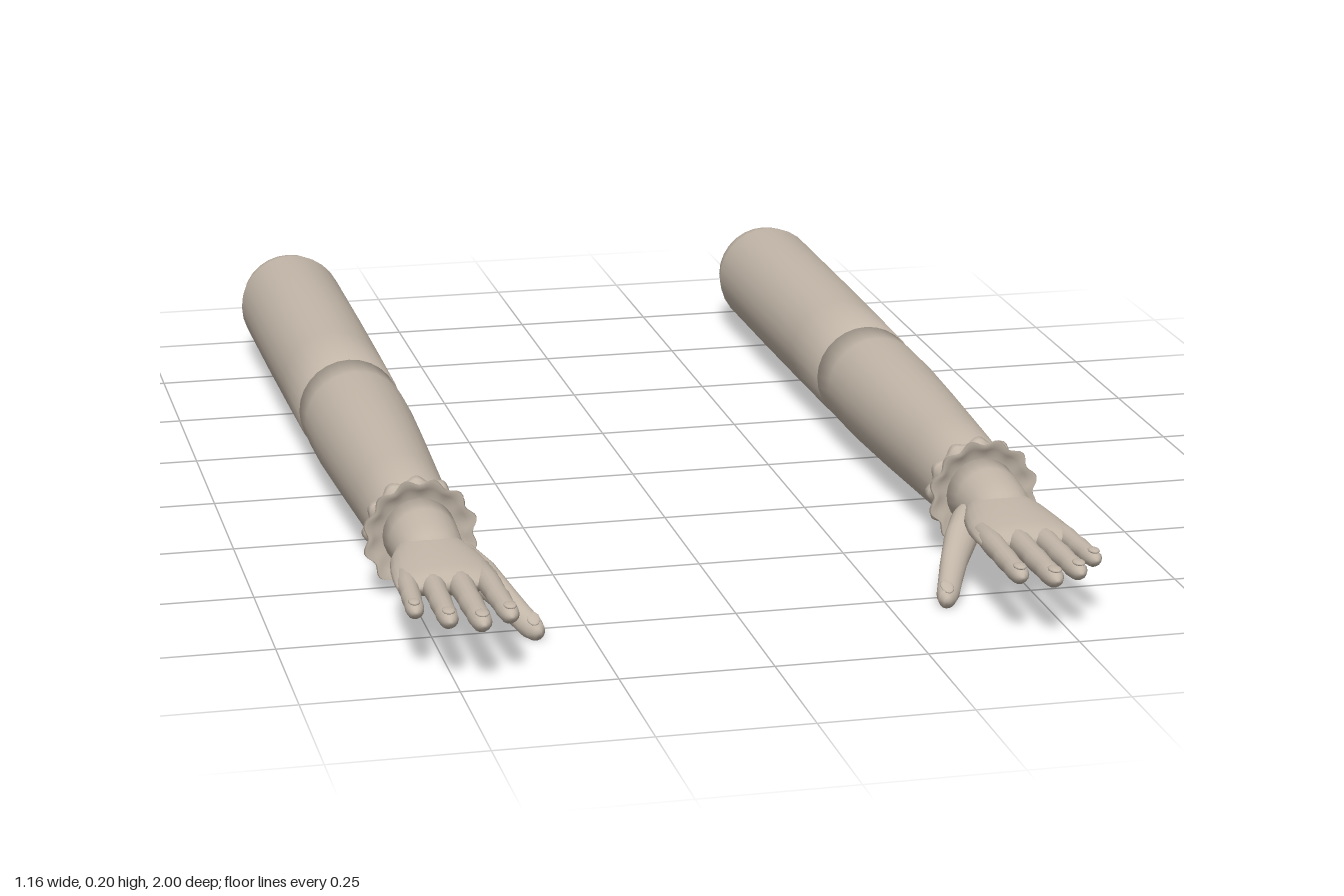
import * as THREE from 'three';

const skin = new THREE.MeshStandardMaterial({ color: 0xc2b6a8 });
skin.name = 'warm beige';

// Skin a row of oval sections [x, y, z, rx, ry, wave] running towards +z, closed at both ends.
function loft(name, sections, side, segments = 20, waves = 0) {
  const pos = [], index = [];
  sections.forEach(([x, y, z, rx, ry, wave = 0]) => {
    for (let j = 0; j < segments; j++) {
      const a = (j / segments) * Math.PI * 2;
      const w = wave * Math.cos(a * waves);
      pos.push(x * side + (rx + w) * Math.cos(a), y + (ry + w) * Math.sin(a), z);
    }
  });
  const last = (sections.length - 1) * segments;
  const back = pos.length / 3, front = back + 1;
  for (const s of [sections[0], sections[sections.length - 1]]) pos.push(s[0] * side, s[1], s[2]);
  for (let j = 0; j < segments; j++) {
    const k = (j + 1) % segments;
    for (let i = 0; i < last; i += segments) {
      index.push(i + j, i + k, i + segments + j, i + k, i + segments + k, i + segments + j);
    }
    index.push(back, k, j, front, last + j, last + k);
  }
  const geo = new THREE.BufferGeometry();
  geo.setAttribute('position', new THREE.Float32BufferAttribute(pos, 3));
  geo.setIndex(index);
  geo.computeVertexNormals();
  const mesh = new THREE.Mesh(geo, skin);
  mesh.name = name;
  return mesh;
}

// Sections sharing the arm's axis
const X = 0.48, Y = 0.11;
const onAxis = (rows) => rows.map(([z, rx, ry = rx, wave]) => [X, Y, z, rx, ry, wave]);

// A slim finger with slight knuckles and a rounded tip
function finger(name, x0, x1, tip, r, side) {
  const start = 0.74;
  const rows = [[0, 0.9], [0.3, 1], [0.5, 0.9], [0.58, 0.96], [0.75, 0.86], [0.82, 0.9], [0.93, 0.8], [0.98, 0.5], [1, 0.15]];
  return loft(name, rows.map(([t, s]) => [
    x0 + (x1 - x0) * t, 0.112, start + (tip - start) * t, r * s, r * s,
  ]), side, 14);
}

function nail(name, x, y, z, side, r, tilt = 0) {
  const mesh = new THREE.Mesh(new THREE.SphereGeometry(1, 12, 8), skin);
  mesh.name = name;
  mesh.scale.set(r, 0.004, r * 1.5);
  mesh.position.set(x * side, y, z);
  mesh.rotation.set(tilt, 0, 0);
  return mesh;
}

function createArm(side) {
  const arm = new THREE.Group();
  arm.name = side > 0 ? 'leftArm' : 'rightArm';

  // Upper arm with a domed shoulder
  arm.add(loft('upperArm', onAxis([
    [-1, 0.012], [-0.993, 0.035], [-0.965, 0.07], [-0.93, 0.09], [-0.89, 0.098],
    [-0.6, 0.097], [-0.35, 0.095], [-0.18, 0.093],
  ]), side, 28));

  // Forearm tapering to the wrist
  arm.add(loft('forearm', onAxis([
    [-0.185, 0.091], [-0.1, 0.092], [0, 0.091, 0.092], [0.15, 0.085, 0.088],
    [0.35, 0.076, 0.08], [0.51, 0.068, 0.073],
  ]), side, 28));

  // Ruffled cuff, dished at the front
  arm.add(loft('cuffRuffle', onAxis([
    [0.5, 0.066], [0.502, 0.08, 0.08, 0.003], [0.51, 0.087, 0.087, 0.005],
    [0.518, 0.084, 0.084, 0.004], [0.525, 0.077, 0.077, 0.001], [0.534, 0.084, 0.084, -0.003],
    [0.545, 0.092, 0.092, -0.005], [0.55, 0.09, 0.09, -0.005],
    [0.543, 0.078, 0.078, -0.002], [0.535, 0.06],
  ]), side, 96, 12));

  // Wrist with a rounded end overlapping the back of the hand
  arm.add(loft('wrist', onAxis([
    [0.52, 0.062, 0.062], [0.58, 0.059, 0.057], [0.63, 0.056, 0.05],
    [0.66, 0.047, 0.041], [0.678, 0.031, 0.028], [0.686, 0.01, 0.01],
  ]), side, 24));

  // Palm
  arm.add(loft('palm', [
    [X, 0.108, 0.57, 0.046, 0.036], [X, 0.108, 0.62, 0.055, 0.038],
    [X, 0.109, 0.67, 0.072, 0.035], [0.479, 0.11, 0.72, 0.08, 0.03],
    [0.479, 0.112, 0.77, 0.084, 0.024], [0.48, 0.112, 0.8, 0.083, 0.018],
    [0.48, 0.112, 0.812, 0.076, 0.009],
  ], side, 28));

  // Four fingers with nails, thumb side first
  [
    ['indexFinger', 0.418, 0.412, 0.972, 0.019],
    ['middleFinger', 0.461, 0.461, 1, 0.02],
    ['ringFinger', 0.503, 0.509, 0.975, 0.019],
    ['littleFinger', 0.54, 0.553, 0.92, 0.017],
  ].forEach(([name, x0, x1, tip, r]) => {
    arm.add(finger(name, x0, x1, tip, r, side));
    arm.add(nail(name + 'Nail', x1, 0.112 + r * 0.78, tip - 0.018, side, r * 0.55));
  });

  // Thumb dropping inwards and forwards
  arm.add(loft('thumb', [
    [0.45, 0.1, 0.58, 0.02, 0.02], [0.43, 0.092, 0.62, 0.031, 0.029],
    [0.405, 0.078, 0.665, 0.03, 0.027], [0.378, 0.055, 0.715, 0.024, 0.022],
    [0.358, 0.037, 0.76, 0.021, 0.02], [0.347, 0.028, 0.787, 0.02, 0.02],
    [0.341, 0.024, 0.803, 0.015, 0.016], [0.339, 0.023, 0.811, 0.006, 0.007],
  ], side, 18));
  arm.add(nail('thumbNail', 0.343, 0.042, 0.793, side, 0.011, 0.4));
  return arm;
}

export function createModel() {
  const model = new THREE.Group();
  model.name = 'pairOfArms';
  for (const side of [1, -1]) model.add(createArm(side));
  // Rest the thumbs on the ground
  const box = new THREE.Box3().setFromObject(model, true);
  model.position.y = -box.min.y;
  return model;
}
